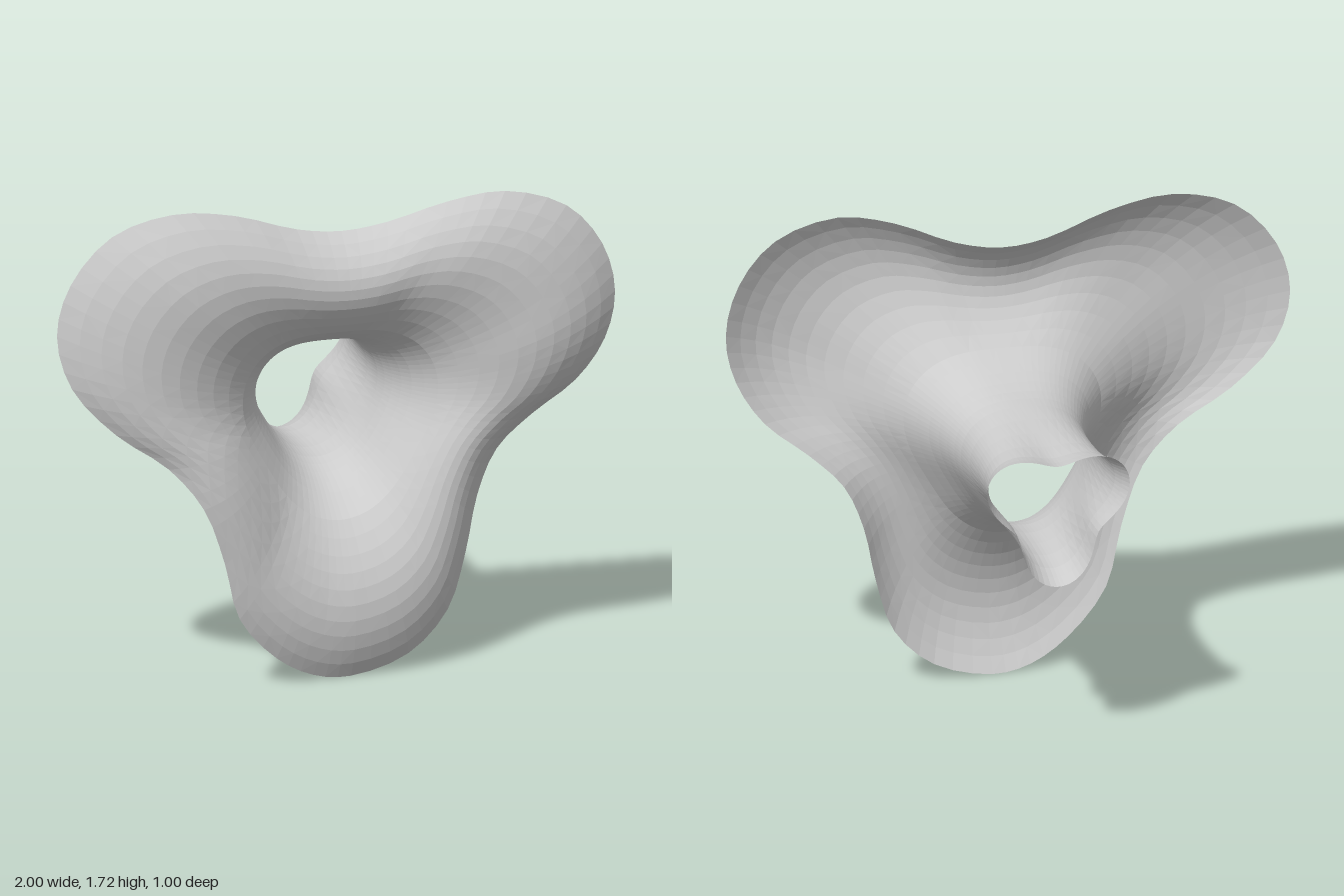
import * as THREE from 'three';

const CX = 0.04, CY = 0.92; // axis of the neck
const SEGMENTS = 90;

// Outer rim, starting at the bottom: x, y, z, and z of the crest just inside it
const rimRows = [
  [0.06, 0.0, 0.36, 0.43], [0.27, 0.06, 0.35, 0.425], [0.415, 0.2, 0.335, 0.415], [0.485, 0.4, 0.32, 0.405],
  [0.53, 0.6, 0.31, 0.395], [0.6, 0.76, 0.31, 0.395], [0.72, 0.88, 0.33, 0.41], [0.87, 1.0, 0.36, 0.44],
  [0.965, 1.15, 0.39, 0.47], [0.999, 1.32, 0.4, 0.49], [0.95, 1.5, 0.41, 0.49], [0.82, 1.65, 0.415, 0.485],
  [0.6, 1.72, 0.41, 0.47], [0.4, 1.69, 0.38, 0.445], [0.2, 1.62, 0.33, 0.43], [0.04, 1.595, 0.31, 0.42],
  [-0.12, 1.615, 0.31, 0.42], [-0.35, 1.69, 0.33, 0.43], [-0.58, 1.72, 0.35, 0.445], [-0.8, 1.66, 0.355, 0.46],
  [-0.95, 1.5, 0.36, 0.46], [-0.999, 1.32, 0.36, 0.46], [-0.95, 1.13, 0.38, 0.46], [-0.8, 0.96, 0.41, 0.46],
  [-0.62, 0.83, 0.44, 0.455], [-0.5, 0.68, 0.465, 0.45], [-0.42, 0.47, 0.45, 0.445], [-0.36, 0.26, 0.425, 0.44],
  [-0.22, 0.1, 0.4, 0.435], [-0.08, 0.02, 0.375, 0.43],
];

// Neck stations: z, mean radius, three-lobe amplitude
const neckRows = [
  [-0.5, 0.222, 0.055], [-0.4, 0.203, 0.042], [-0.2, 0.203, 0.025], [0, 0.219, 0.015],
  [0.1, 0.24, 0.02], [0.2, 0.278, 0.025], [0.3, 0.34, 0.033],
];

const curveOf = (points, closed) => new THREE.CatmullRomCurve3(points, closed);

// Skin a list of closed rings of equal length
function skin(rings) {
  const count = rings[0].length, positions = [], index = [];
  rings.forEach((ring) => ring.forEach((p) => positions.push(p.x, p.y, p.z)));
  for (let i = 0; i < rings.length - 1; i++) {
    for (let j = 0; j < count; j++) {
      const k = (j + 1) % count;
      const a = i * count + j, b = i * count + k, c = a + count, d = b + count;
      // alternate the diagonals
      if ((i + j) % 2) index.push(a, c, b, b, c, d);
      else index.push(a, c, d, a, d, b);
    }
  }
  const geometry = new THREE.BufferGeometry();
  geometry.setAttribute('position', new THREE.Float32BufferAttribute(positions, 3));
  geometry.setIndex(index);
  geometry.computeVertexNormals();
  return geometry;
}

export function createModel() {
  const rimCurve = curveOf(rimRows.map(([x, y, z]) => new THREE.Vector3(x, y, z)), true);
  const crestCurve = curveOf(rimRows.map((r, i) => new THREE.Vector3(i * 0.1, r[3], 0)), false);
  const neck = curveOf(neckRows.map((r) => new THREE.Vector3(...r)), false).getPoints(12);

  // One spoke per rim sample
  const spokes = [];
  for (let j = 0; j < SEGMENTS; j++) {
    const rim = rimCurve.getPoint(j / SEGMENTS);
    const at = (j / SEGMENTS) * rimRows.length;
    const crest = crestCurve.getPoint(Math.min(1, at / (rimRows.length - 1))).y;
    spokes.push({ rim, crest, angle: Math.atan2(rim.y - CY, rim.x - CX) });
  }

  // Neck rings: circles with three soft lobes
  const rings = neck.map(({ x: z, y: radius, z: lobe }) => spokes.map(({ angle }) => {
    const r = radius + lobe * Math.sin(3 * angle);
    return new THREE.Vector3(CX + r * Math.cos(angle), CY + r * Math.sin(angle), z);
  }));

  // Flare rings: arch from the neck over the crest to the rim
  const base = rings[rings.length - 1], steps = 10;
  for (let s = 1; s <= steps; s++) {
    const u = s / steps;
    rings.push(spokes.map(({ rim, crest }, j) => {
      const p = base[j].clone().lerp(rim, u);
      const control = 2 * crest - 0.5 * (base[j].z + rim.z);
      p.z = (1 - u) ** 2 * base[j].z + 2 * u * (1 - u) * control + u * u * rim.z;
      return p;
    }));
  }

  const material = new THREE.MeshStandardMaterial({
    color: 0xcccccc, flatShading: true, side: THREE.DoubleSide,
  });
  const trumpet = new THREE.Mesh(skin(rings), material);
  trumpet.name = 'lobedTrumpetSurface';

  const group = new THREE.Group();
  group.name = 'lobedTrumpet';
  group.add(trumpet);
  return group;
}
